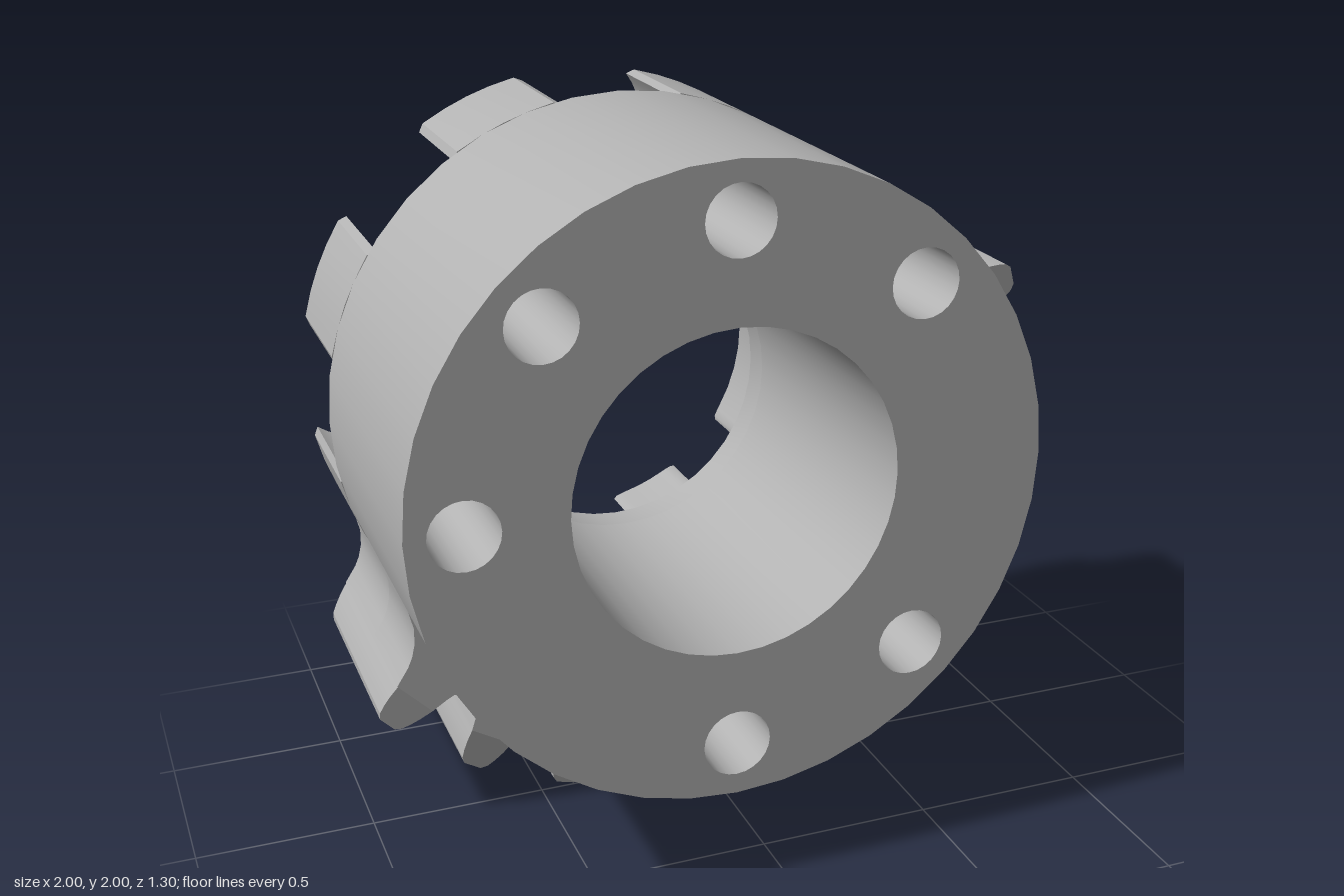
import * as THREE from 'three';
import { toCreasedNormals } from 'three/addons/utils/BufferGeometryUtils.js';

const CX = -0.145, CY = 1.145;            // hub axis
const R_HUB = 0.855, R_BORE = 0.44, R_RING = 0.53;
const R_BOLT = 0.705, R_HOLE = 0.093, R_POCKET = 0.2;
const Z_FRONT = 0.65, Z_GEAR = 0.07, Z_FLOOR = -0.25, Z_RING = -0.34, Z_BACK = -0.65;
const rad = THREE.MathUtils.degToRad;

// Point given by radial distance y and sideways offset x from the ray at angle a
const at = (a, y, x = 0) => {
  const c = Math.cos(rad(a)), s = Math.sin(rad(a));
  return new THREE.Vector2(y * c - x * s, y * s + x * c);
};

const arc = (r, a0, a1, n) =>
  Array.from({ length: n + 1 }, (_, i) => at(a0 + (a1 - a0) * i / n, r));

const circle = (a, y, r, n) =>
  arc(r, 0, 360 - 360 / n, n - 1).map(p => p.add(at(a, y)));

// Round part of a pocket, t measured from the outward ray
const pocketArc = (a, t0, t1, n) => Array.from({ length: n + 1 }, (_, i) => {
  const t = rad(t0 + (t1 - t0) * i / n);
  return at(a, R_BOLT + R_POCKET * Math.cos(t), R_POCKET * Math.sin(t));
});

// One side wall of an open pocket, from rim to bore
const pocketWall = (a, s) => [
  at(a, 0.835, s * 0.185), at(a, 0.829, s * 0.169),
  ...pocketArc(a, s * 53, s * 150, 10),
  at(a, 0.522, s * 0.108), at(a, 0.514, s * 0.13)
];

// Closed pocket in the gear, opening only into the bore
const closedPocket = a => [
  at(a, 0.514, 0.13), at(a, 0.522, 0.108),
  ...pocketArc(a, 150, -150, 26),
  at(a, 0.522, -0.108), at(a, 0.514, -0.13)
];

// Tooth flanks and roots, without the chamfered tips
const FLANK = [[0.94, 0.11], [0.945, 0.096], [0.958, 0.084], [0.98, 0.077], [1.03, 0.066]];
const END = [[0.823, 0.22], [0.844, 0.193], [0.872, 0.147], [0.906, 0.114], [0.94, 0.093], [0.97, 0.081], [1.03, 0.068]];
const TEETH = Array.from({ length: 11 }, (_, i) => -135 + 15 * i);

function toothedEdge() {
  const pts = [];
  TEETH.forEach((a, i) => {
    const first = i === 0 ? END : FLANK;
    const last = i === TEETH.length - 1 ? END : FLANK;
    first.forEach(([y, x]) => pts.push(at(a, y, -x)));
    [...last].reverse().forEach(([y, x]) => pts.push(at(a, y, x)));
  });
  return pts;
}

function extrude(points, z0, z1, holes = []) {
  const shape = new THREE.Shape(points);
  holes.forEach(h => shape.holes.push(new THREE.Path(h)));
  const geo = new THREE.ExtrudeGeometry(shape, { depth: z1 - z0, bevelEnabled: false });
  return geo.translate(0, 0, z0);
}

export function createModel() {
  const model = new THREE.Group();
  const hub = new THREE.Group();
  hub.name = 'gearHub';
  hub.position.set(CX, CY, 0);
  model.add(hub);
  const steel = new THREE.MeshStandardMaterial({ color: 0xb2b2b2 });
  steel.name = 'greySteel';

  const add = (name, geo, crease = 0.55) => {
    const mesh = new THREE.Mesh(toCreasedNormals(geo, crease), steel);
    mesh.name = name;
    hub.add(mesh);
  };

  // Hub cylinder with bore and bolt holes
  const bolts = [45, 90, 135, 180, 270, 315];
  add('hubBody', extrude(circle(0, 0, R_HUB, 40), Z_FLOOR, Z_FRONT,
    [circle(0, 0, R_BORE, 40), ...bolts.map(a => circle(a, R_BOLT, R_HOLE, 24))]));

  // Raised ring around the bore
  add('boreRing', extrude(circle(0, 0, R_RING, 40), Z_RING, Z_FLOOR, [circle(0, 0, R_BORE, 40)]));

  // Toothed sector around the hub
  add('gearSector', extrude([...toothedEdge(), ...arc(0.84, 30, -150, 36)], Z_FLOOR, Z_GEAR));

  // Rear of the gear sector, cut by pockets
  add('gearRear', extrude([
    ...arc(R_HUB, -167, -151, 3),
    ...toothedEdge(),
    ...arc(R_HUB, 31, 32, 1),
    ...pocketWall(45, -1),
    ...arc(R_RING, 30, -30, 8),
    ...closedPocket(-45),
    ...arc(R_RING, -60, -75, 3),
    ...closedPocket(-90),
    ...arc(R_RING, -105, -165, 8),
    ...pocketWall(-180, 1).reverse()
  ], Z_BACK, Z_FLOOR));

  // Free-standing posts between the open pockets
  for (const a of [45, 90, 135]) {
    add('rearPost', extrude([
      ...arc(R_HUB, a + 13, a + 32, 4),
      ...pocketWall(a + 45, -1),
      ...arc(R_RING, a + 30, a + 15, 3),
      ...pocketWall(a, 1).reverse()
    ], Z_BACK, Z_FLOOR));
  }

  // Tooth tips, chamfered towards both ends
  const half = [[1.03, 0.066], [1.07, 0.059], [1.1, 0.051], [1.125, 0.042], [1.14, 0.027]];
  const mid = (Z_GEAR + Z_BACK) / 2;
  for (const a of TEETH) {
    const outline = [
      ...half.map(([y, x]) => at(0, y, -x)),
      ...[...half].reverse().map(([y, x]) => at(0, y, x))
    ];
    const geo = extrude(outline, Z_BACK, Z_GEAR);
    const pos = geo.attributes.position;
    for (let i = 0; i < pos.count; i++) {
      const z = pos.getZ(i);
      const cut = 0.026 * Math.max(0, pos.getX(i) - 1.03) / 0.11;
      pos.setZ(i, z - Math.sign(z - mid) * cut);
    }
    geo.rotateZ(rad(a));
    add('toothTip', geo, 0.2);
  }
  return model;
}
